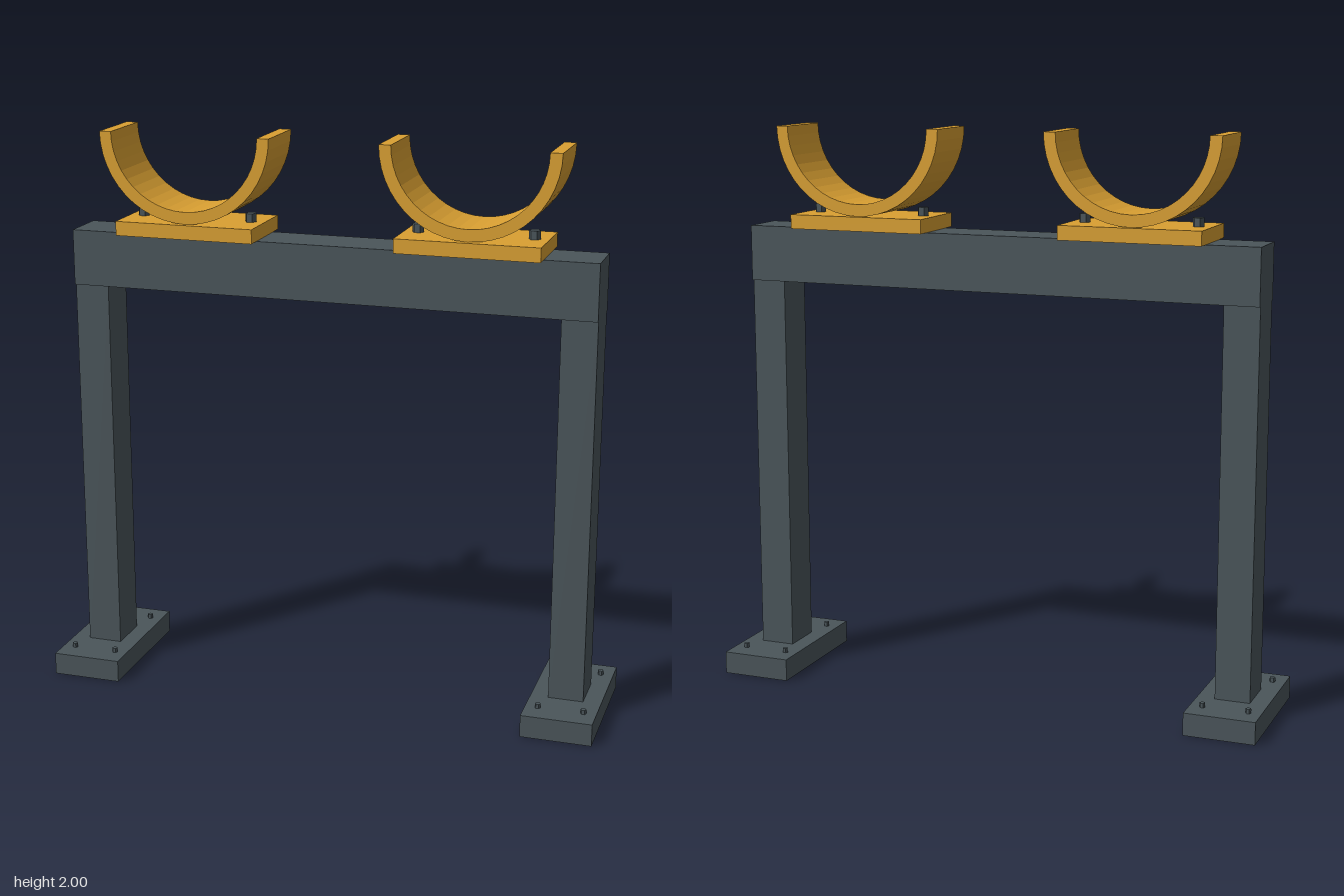
import * as THREE from 'three';

const steel = new THREE.MeshStandardMaterial({ color: 0x4a555a, flatShading: true });
const yellow = new THREE.MeshStandardMaterial({ color: 0xdaa032, flatShading: true });

function add(parent, name, geometry, material, x, y, z) {
  const mesh = new THREE.Mesh(geometry, material);
  mesh.name = name;
  mesh.position.set(x, y, z);
  parent.add(mesh);
  return mesh;
}

// Box given by its bottom and top heights
function slab(parent, name, material, x, width, bottom, top, depth) {
  const geometry = new THREE.BoxGeometry(width, top - bottom, depth);
  return add(parent, name, geometry, material, x, (bottom + top) / 2, 0);
}

// Hexagonal bolt head standing on a surface, corners pointing along x
function bolt(parent, name, radius, height, x, bottom, z) {
  const geometry = new THREE.CylinderGeometry(radius, radius, height, 6);
  geometry.rotateY(Math.PI / 2);
  return add(parent, name, geometry, steel, x, bottom + height / 2, z);
}

// Half-ring cross-section, open at the top, extruded along z
function cradleGeometry(outer, inner, depth) {
  const shape = new THREE.Shape();
  shape.absarc(0, 0, outer, Math.PI, Math.PI * 2, false);
  shape.absarc(0, 0, inner, Math.PI * 2, Math.PI, true);
  shape.closePath();
  const geometry = new THREE.ExtrudeGeometry(shape, { depth, bevelEnabled: false, curveSegments: 12 });
  geometry.translate(0, 0, -depth / 2);
  return geometry;
}

export function createModel() {
  const model = new THREE.Group();
  model.name = 'pipeSupportFrame';

  slab(model, 'crossBeam', steel, 0, 1.874, 1.445, 1.642, 0.176);

  for (const side of [-1, 1]) {
    const label = side > 0 ? 'left' : 'right';

    // Leg with bolted foot plate
    const leg = new THREE.Group();
    leg.name = label + 'Leg';
    model.add(leg);
    slab(leg, 'footPlate', steel, side * 0.875, 0.25, 0, 0.08, 0.5);
    slab(leg, 'post', steel, side * 0.875, 0.124, 0.08, 1.445, 0.156);
    for (const dx of [-0.08, 0.08])
      for (const z of [-0.17, 0.17])
        bolt(leg, 'anchorBolt', 0.01, 0.016, side * 0.875 + dx, 0.08, z);

    // Saddle: base plate, half-ring cradle and two bolts
    const saddle = new THREE.Group();
    saddle.name = label + 'Saddle';
    model.add(saddle);
    slab(saddle, 'saddlePlate', yellow, side * 0.5, 0.5, 1.642, 1.692, 0.276);
    add(saddle, 'cradle', cradleGeometry(0.308, 0.266, 0.238), yellow, side * 0.5, 2, 0);
    for (const dx of [-0.2, 0.2])
      bolt(saddle, 'saddleBolt', 0.02, 0.03, side * 0.5 + dx, 1.692, 0);
  }
  return model;
}
